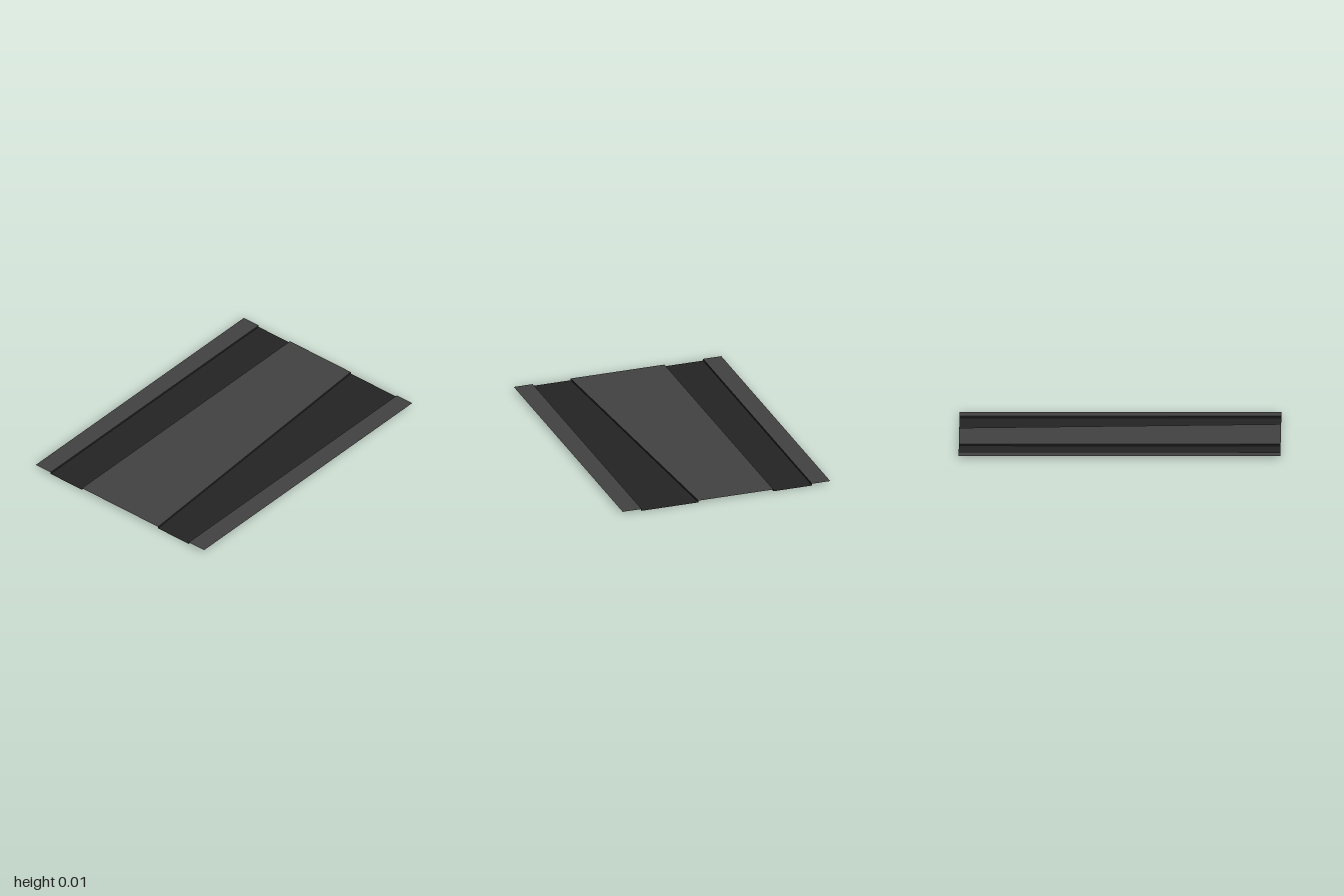
import * as THREE from 'three';

export function createModel() {
  const root = new THREE.Group();
  const H = 0.012; // height of the raised surface above the lanes

  const raised = new THREE.MeshStandardMaterial({ color: 0x424242, side: THREE.DoubleSide });
  raised.name = 'charcoal grey';
  const sunken = new THREE.MeshStandardMaterial({ color: 0x232323, side: THREE.DoubleSide });
  sunken.name = 'near black';

  // Sheet seams: x at the back, x at the front
  const seams = [
    [-0.685, -0.685], [-0.565, -0.565], [-0.31, -0.31],
    [0.185, 0.31], [0.56, 0.56], [0.685, 0.685],
  ];

  // Quad running the full length between two seams, each at its own height
  function strip(name, a, ya, b, yb, material) {
    const g = new THREE.BufferGeometry();
    g.setAttribute('position', new THREE.Float32BufferAttribute([
      a[0], ya, -1, a[1], ya, 1, b[1], yb, 1, b[0], yb, -1,
    ], 3));
    g.setIndex([0, 1, 2, 0, 2, 3]);
    g.computeVertexNormals();
    const mesh = new THREE.Mesh(g, material);
    mesh.name = name;
    root.add(mesh);
  }

  // Alternating raised panels and sunken lanes
  const names = ['rightKerb', 'rightLane', 'centrePanel', 'leftLane', 'leftKerb'];
  names.forEach((name, i) => {
    const low = i % 2 === 1;
    const y = low ? 0 : H;
    strip(name, seams[i], y, seams[i + 1], y, low ? sunken : raised);
  });

  // Low steps joining lanes to panels, facing into the lanes
  for (let i = 1; i <= 4; i++) {
    const down = i % 2 === 1;
    strip('laneStep' + i, seams[i], down ? H : 0, seams[i], down ? 0 : H, sunken);
  }

  return root;
}
